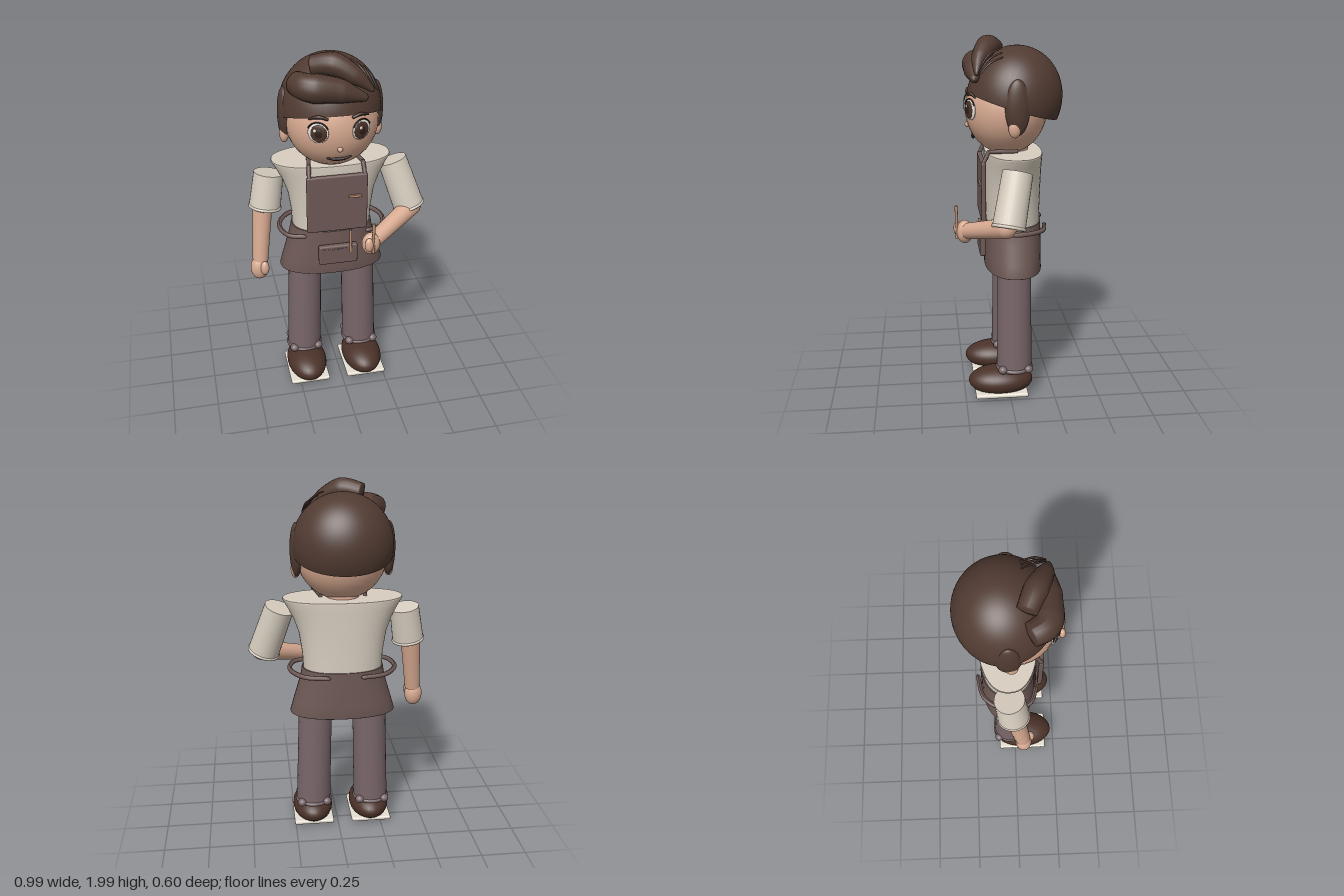
import * as THREE from 'three';
import { RoundedBoxGeometry } from 'three/addons/geometries/RoundedBoxGeometry.js';

const colours = {
  hair: 0x513b32, skin: 0xd9ab92, shirt: 0xd8cec0, apron: 0x6e5955, trousers: 0x79666a,
  shoe: 0x4b3229, sole: 0xe6dfd2, eyeWhite: 0xe9e4dc, dark: 0x2e201c, wood: 0xb98d70,
};
const mats = {};
const V = (p) => new THREE.Vector3(...p);

function add(parent, name, geo, mat, pos = [0, 0, 0], rot = [0, 0, 0], scale = [1, 1, 1]) {
  const m = new THREE.Mesh(geo, mats[mat]);
  m.name = name;
  m.position.set(...pos);
  m.rotation.set(...rot);
  m.scale.set(...scale);
  parent.add(m);
  return m;
}

const ball = (parent, name, mat, pos, size, rot) =>
  add(parent, name, new THREE.SphereGeometry(1, 32, 20), mat, pos, rot, size);

const box = (parent, name, mat, pos, size, r, rot) =>
  add(parent, name, new RoundedBoxGeometry(...size, 3, r), mat, pos, rot);

// Tapered cylinder from a (radius ra) to b (radius rb)
function rod(parent, name, mat, a, b, ra, rb = ra) {
  const from = V(a), dir = V(b).sub(from);
  const m = add(parent, name, new THREE.CylinderGeometry(rb, ra, dir.length(), 28), mat);
  m.position.copy(from).addScaledVector(dir, 0.5);
  m.quaternion.setFromUnitVectors(new THREE.Vector3(0, 1, 0), dir.normalize());
  return m;
}

// Tube along points whose radius follows the given list; closed at both ends
function taper(parent, name, mat, points, radii, sides = 16) {
  const n = 40, curve = new THREE.CatmullRomCurve3(points.map(V));
  const geo = new THREE.TubeGeometry(curve, n, 1, sides);
  const pos = geo.attributes.position, v = new THREE.Vector3();
  for (let i = 0; i <= n; i++) {
    const c = curve.getPointAt(i / n), t = (i / n) * (radii.length - 1);
    const k = Math.min(Math.floor(t), radii.length - 2);
    const r = i === 0 || i === n ? 0 : THREE.MathUtils.lerp(radii[k], radii[k + 1], t - k);
    for (let j = 0; j <= sides; j++) {
      const id = i * (sides + 1) + j;
      v.fromBufferAttribute(pos, id).sub(c).multiplyScalar(r).add(c);
      pos.setXYZ(id, v.x, v.y, v.z);
    }
  }
  geo.computeVertexNormals();
  return add(parent, name, geo, mat);
}

// Stack of rounded oval rings [y, halfWidth, halfDepth], bottom to top
function loft(rings, cz, n = 48, power = 2.3) {
  const p = [], idx = [];
  const f = (c) => Math.sign(c) * Math.abs(c) ** (2 / power);
  for (const [y, rx, rz] of rings)
    for (let j = 0; j < n; j++) {
      const a = (j / n) * Math.PI * 2;
      p.push(rx * f(Math.cos(a)), y, cz + rz * f(Math.sin(a)));
    }
  for (let i = 0; i < rings.length - 1; i++)
    for (let j = 0; j < n; j++) {
      const a = i * n + j, c = i * n + ((j + 1) % n);
      idx.push(a, a + n, c, c, a + n, c + n);
    }
  const g = new THREE.BufferGeometry();
  g.setAttribute('position', new THREE.Float32BufferAttribute(p, 3));
  g.setIndex(idx);
  g.computeVertexNormals();
  return g;
}

function buildHead(g) {
  ball(g, 'head', 'skin', [0, 1.615, 0], [0.245, 0.245, 0.222]);
  rod(g, 'neck', 'skin', [0, 1.34, -0.03], [0, 1.45, -0.03], 0.09);

  // Hair cap, tilted so the hairline is high in front and low behind
  add(g, 'hairCap', new THREE.SphereGeometry(0.27, 48, 32, 0, Math.PI * 2, 0, 1.71), 'hair',
    [0, 1.67, -0.045], [-0.3, 0, 0], [1.0, 1.04, 0.95]);
  taper(g, 'lowerQuiff', 'hair',
    [[-0.2, 1.845, 0.06], [-0.15, 1.845, 0.14], [0, 1.825, 0.165], [0.15, 1.78, 0.18]],
    [0.06, 0.075, 0.06, 0.015]);
  taper(g, 'upperQuiff', 'hair',
    [[-0.12, 1.925, 0.05], [-0.01, 1.94, 0.1], [0.1, 1.88, 0.15], [0.18, 1.81, 0.17]],
    [0.05, 0.06, 0.045, 0.01]);
  for (let i = 0; i < 3; i++)
    taper(g, 'strand', 'hair',
      [[0.09 + 0.03 * i, 1.94 - 0.02 * i, 0.03], [0.13 + 0.025 * i, 1.91 - 0.02 * i, 0.1],
        [0.18 + 0.01 * i, 1.83 - 0.01 * i, 0.16]], [0.004, 0.006, 0.003], 6);

  for (const s of [-1, 1]) {
    ball(g, 'sideburn', 'hair', [s * 0.245, 1.65, -0.035], [0.035, 0.145, 0.065]);
    ball(g, 'ear', 'skin', [s * 0.25, 1.545, -0.02], [0.025, 0.05, 0.033]);

    // Eye, built as thin layers facing along the cheek
    const eye = new THREE.Group();
    eye.name = 'eye';
    eye.position.set(s * 0.11, 1.625, 0.199);
    eye.rotation.y = s * 0.42;
    g.add(eye);
    ball(eye, 'eyeWhite', 'eyeWhite', [0, 0, 0], [0.054, 0.054, 0.012]);
    ball(eye, 'iris', 'shoe', [-s * 0.004, 0, 0.007], [0.043, 0.046, 0.009]);
    ball(eye, 'pupil', 'dark', [-s * 0.004, 0, 0.012], [0.022, 0.026, 0.006]);
    ball(eye, 'glint', 'eyeWhite', [-0.014, 0.018, 0.017], [0.009, 0.009, 0.003]);
    add(eye, 'upperLid', new THREE.TorusGeometry(0.055, 0.004, 8, 24, 2.3), 'dark',
      [0, 0.002, 0.004], [0, 0, 0.42]);
    taper(g, 'eyebrow', 'hair',
      [[s * 0.06, 1.695, 0.21], [s * 0.105, 1.708, 0.199], [s * 0.155, 1.693, 0.175]],
      [0.007, 0.01, 0.004], 8);
  }
  ball(g, 'nose', 'skin', [0, 1.53, 0.21], [0.014, 0.014, 0.014]);
  taper(g, 'mouth', 'dark',
    [[-0.065, 1.475, 0.179], [-0.03, 1.465, 0.18], [0.03, 1.465, 0.18], [0.065, 1.475, 0.179]],
    [0.004, 0.009, 0.009, 0.004], 8);
}

function buildBody(g) {
  // Shirt flares to a flat, wide shoulder line
  add(g, 'shirt', loft([
    [0.95, 0.215, 0.147], [1.08, 0.222, 0.147], [1.2, 0.24, 0.15], [1.28, 0.268, 0.152],
    [1.34, 0.298, 0.154], [1.385, 0.325, 0.156], [1.392, 0.322, 0.154], [1.392, 0.322, 0.154],
    [1.392, 0, 0]], -0.035), 'shirt');

  // Wrapped apron skirt with bib, straps and pocket
  add(g, 'apronSkirt', loft([
    [0.73, 0.285, 0.15], [0.735, 0.293, 0.157], [0.8, 0.275, 0.156], [0.9, 0.245, 0.155],
    [0.96, 0.23, 0.154], [1.0, 0.224, 0.153], [1.0, 0.224, 0.153], [1.0, 0.2, 0.13]], -0.035), 'apron');
  box(g, 'bib', 'apron', [0, 1.185, 0.136], [0.33, 0.33, 0.026], 0.01);
  box(g, 'bibTag', 'wood', [0.095, 1.225, 0.152], [0.07, 0.016, 0.014], 0.004);
  box(g, 'pocket', 'apron', [0.005, 0.87, 0.138], [0.215, 0.115, 0.034], 0.01);
  for (let i = 0; i < 9; i++)
    box(g, 'stitch', 'trousers', [-0.075 + i * 0.02, 0.908, 0.156], [0.012, 0.005, 0.004], 0.001);
  rod(g, 'pocketPencil', 'wood', [0.072, 0.88, 0.15], [0.072, 1.02, 0.155], 0.007);
  for (const s of [-1, 1]) {
    rod(g, 'strap', 'apron', [s * 0.15, 1.34, 0.138], [s * 0.145, 1.41, 0.105], 0.011);
    rod(g, 'strapBack', 'apron', [s * 0.145, 1.405, 0.107], [s * 0.12, 1.4, -0.05], 0.011);
    taper(g, 'apronTie', 'apron', [[s * 0.16, 0.985, 0.12], [s * 0.26, 0.985, 0.08],
      [s * 0.29, 0.985, -0.05], [s * 0.22, 0.983, -0.17], [s * 0.08, 0.98, -0.205]],
    [0.012, 0.013, 0.013, 0.012], 10);
  }
}

function buildLeg(g, s) {
  const leg = new THREE.Group();
  leg.name = s < 0 ? 'rightLeg' : 'leftLeg';
  g.add(leg);
  rod(leg, 'trouserLeg', 'trousers', [s * 0.168, 0.16, -0.03], [s * 0.148, 0.92, -0.03], 0.098, 0.092);
  add(leg, 'cuff', new THREE.TorusGeometry(0.092, 0.013, 10, 36), 'trousers',
    [s * 0.168, 0.17, -0.03], [Math.PI / 2, 0, 0]);
  for (const dx of [-1, 1])
    for (const dz of [-1, 1])
      ball(leg, 'cuffFold', 'trousers', [s * 0.168 + dx * 0.071, 0.177, -0.03 + dz * 0.071],
        [0.026, 0.023, 0.026]);
  ball(leg, 'shoe', 'shoe', [s * 0.168, 0.09, 0.048], [0.115, 0.081, 0.182]);
  box(leg, 'sole', 'sole', [s * 0.168, 0.035, 0.048], [0.23, 0.024, 0.295], 0.01);
}

// Sleeve with a hem ring, forearm and hand; positions given in model space
function buildArm(g, name, { shoulder, hem, elbow, wrist, hand, handSize, thumb, thumbSize }) {
  const arm = new THREE.Group();
  arm.name = name;
  g.add(arm);
  rod(arm, 'sleeve', 'shirt', shoulder, hem, 0.08, 0.086);
  const ring = add(arm, 'sleeveHem', new THREE.TorusGeometry(0.082, 0.009, 10, 36), 'shirt', hem);
  ring.quaternion.setFromUnitVectors(new THREE.Vector3(0, 0, 1), V(hem).sub(V(shoulder)).normalize());
  ball(arm, 'elbow', 'skin', elbow, [0.054, 0.054, 0.054]);
  rod(arm, 'forearm', 'skin', elbow, wrist, 0.054, 0.043);
  ball(arm, 'hand', 'skin', hand, handSize);
  ball(arm, 'thumb', 'skin', thumb, thumbSize);
  return arm;
}

export function createModel() {
  for (const [name, color] of Object.entries(colours)) {
    mats[name] = new THREE.MeshStandardMaterial({ color });
    mats[name].name = name;
  }
  mats.hair.side = mats.apron.side = THREE.DoubleSide;

  const model = new THREE.Group();
  model.name = 'apronFigure';
  const figure = new THREE.Group();
  figure.name = 'figure';
  figure.position.x = -0.026;
  model.add(figure);

  buildHead(figure);
  buildBody(figure);
  for (const s of [-1, 1]) buildLeg(figure, s);

  // Right arm hangs down, left arm bends forward and holds a pencil
  buildArm(model, 'rightArm', {
    shoulder: [-0.365, 1.32, -0.035], hem: [-0.395, 1.13, -0.015],
    elbow: [-0.41, 1.13, -0.01], wrist: [-0.44, 0.82, 0.035],
    hand: [-0.447, 0.775, 0.04], handSize: [0.05, 0.07, 0.045],
    thumb: [-0.422, 0.79, 0.08], thumbSize: [0.024, 0.042, 0.022],
  });
  const left = buildArm(model, 'leftArm', {
    shoulder: [0.315, 1.335, -0.025], hem: [0.405, 1.07, 0.03],
    elbow: [0.415, 1.07, 0.045], wrist: [0.16, 0.985, 0.225],
    hand: [0.138, 0.975, 0.24], handSize: [0.05, 0.063, 0.045],
    thumb: [0.118, 0.99, 0.28], thumbSize: [0.024, 0.04, 0.02],
  });
  rod(left, 'heldPencil', 'wood', [0.14, 0.94, 0.283], [0.14, 1.12, 0.285], 0.008);
  return model;
}
